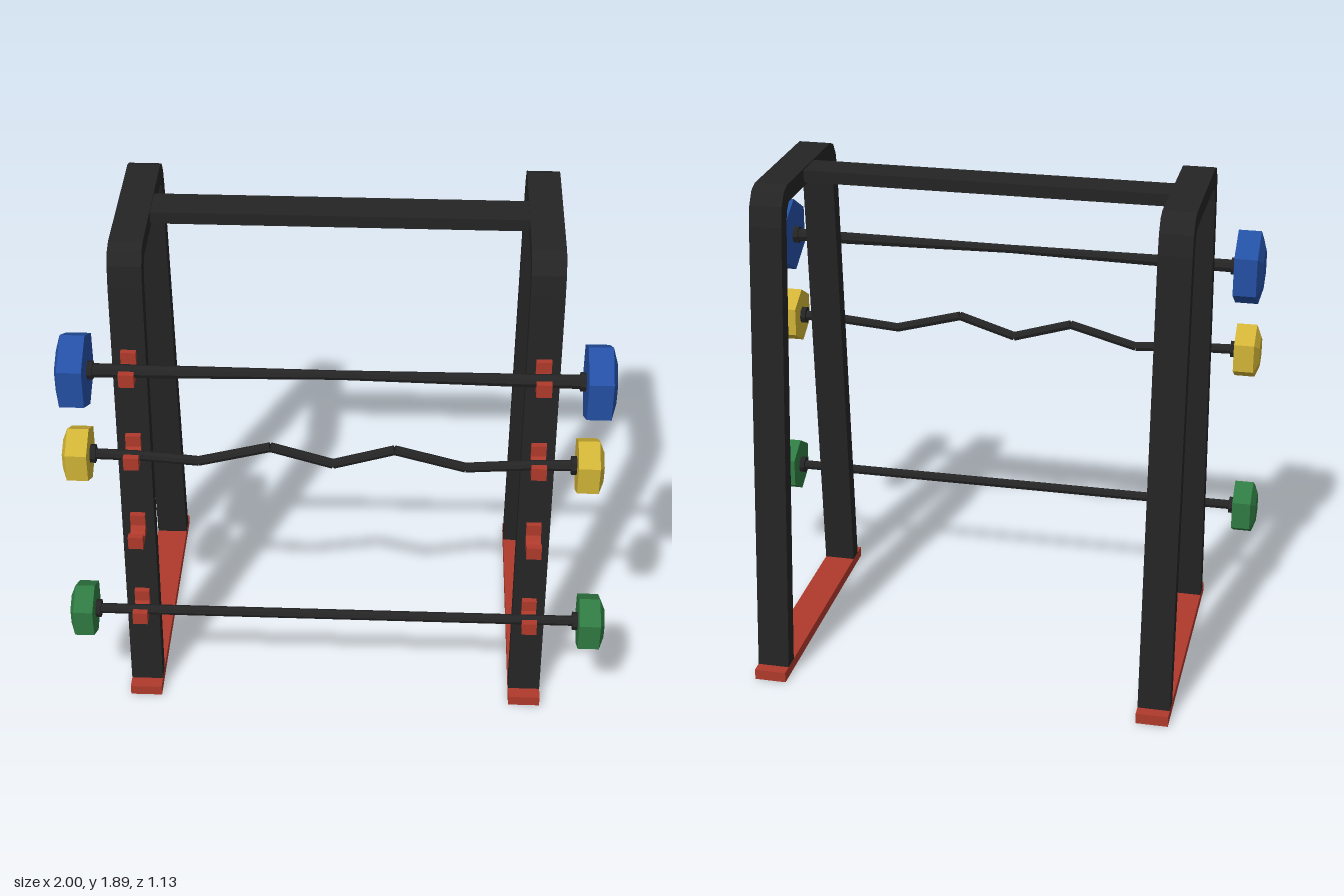
import * as THREE from 'three';

const mat = (name, color) => {
  const m = new THREE.MeshStandardMaterial({ color, flatShading: true });
  m.name = name;
  return m;
};

export function createModel() {
  const root = new THREE.Group();
  root.name = 'barbellRack';
  const black = mat('black steel', 0x242424);
  const red = mat('red', 0xb03a2c);
  const blue = mat('blue', 0x2450a4);
  const yellow = mat('yellow', 0xd0b336);
  const green = mat('green', 0x2f7a42);

  const add = (name, geo, material, parent = root) => {
    const mesh = new THREE.Mesh(geo, material);
    mesh.name = name;
    parent.add(mesh);
    return mesh;
  };
  const box = (name, material, x0, x1, y0, y1, z0, z1) =>
    add(name, new THREE.BoxGeometry(x1 - x0, y1 - y0, z1 - z0), material)
      .position.set((x0 + x1) / 2, (y0 + y1) / 2, (z0 + z1) / 2);
  // Extrude a (z, y) outline along x, centred on x
  const sideProfile = (pts, width, x) => {
    const shape = new THREE.Shape(pts.map(p => new THREE.Vector2(...p)));
    return new THREE.ExtrudeGeometry(shape, { depth: width, bevelEnabled: false })
      .rotateY(-Math.PI / 2).translate(x + width / 2, 0, 0);
  };
  // Round rod between two points
  const rod = (name, a, b, r0, r1, parent) => {
    const dir = b.clone().sub(a);
    const m = add(name, new THREE.CylinderGeometry(r1, r0, dir.length(), 8), black, parent);
    m.position.copy(a).add(b).multiplyScalar(0.5);
    m.quaternion.setFromUnitVectors(new THREE.Vector3(0, 1, 0), dir.normalize());
  };

  // Bent A-frames, feet and hooks on both sides
  const frame = [
    [0.45, 0.04], [0.32, 1.755], [0.305, 1.83], [0.275, 1.875], [0.235, 1.89],
    [-0.305, 1.89], [-0.345, 1.875], [-0.375, 1.83], [-0.39, 1.755], [-0.52, 0.04],
    [-0.455, 0.04], [-0.328, 1.755], [-0.315, 1.8], [-0.29, 1.825],
    [0.22, 1.825], [0.245, 1.8], [0.258, 1.755], [0.388, 0.04],
  ];
  const hook = [
    [-0.01, 0], [0.102, 0], [0.102, 0.052], [0.077, 0.052], [0.066, 0.03],
    [0.05, 0.019], [0.03, 0.026], [0.018, 0.045], [0.018, 0.09], [-0.015, 0.09],
  ];
  const hookHeights = [0.383, 0.728, 1.073, 1.418];
  const postFront = y => 0.453 - 0.0758 * y;
  for (const [side, x] of [['right', -0.74], ['left', 0.722]]) {
    add(side + 'Frame', sideProfile(frame, 0.12, x), black);
    box(side + 'Foot', red, x - 0.06, x + 0.06, 0, 0.04, -0.565, 0.5);
    for (const y of hookHeights) {
      add(side + 'Hook', sideProfile(hook, 0.055, x), red).position.set(0, y, postFront(y + 0.045));
    }
  }
  box('crossbar', black, -0.69, 0.67, 1.84, 1.885, -0.107, 0.027);

  // Hexagonal weight with a shallow domed outer face
  const weight = (material, r, inner, outer, y, z, parent) => {
    const len = Math.abs(outer - inner);
    const pts = [[0, 0], [r, 0], [r, len - 0.018], [r * 0.55, len], [0, len]];
    const geo = new THREE.LatheGeometry(pts.map(p => new THREE.Vector2(...p)), 6, Math.PI / 2);
    const m = add('weight', geo, material, parent);
    m.rotation.z = -Math.sign(outer) * Math.PI / 2;
    m.position.set(inner, y, z);
    // Collar against the inner face
    const s = Math.sign(outer);
    rod('collar', new THREE.Vector3(inner - s * 0.02, y, z),
      new THREE.Vector3(inner + s * 0.01, y, z), 0.034, 0.034, parent);
  };

  // Bars: path points are [x, y, radius]
  const bars = [
    { name: 'topBar', material: blue, z: 0.398, y: 1.458, r: 0.146,
      right: [-0.88, -0.985], left: [0.868, 0.972],
      path: [[-0.9, 1.458, 0.026], [-0.68, 1.458, 0.024], [0, 1.462, 0.017],
        [0.66, 1.458, 0.024], [0.89, 1.458, 0.026]] },
    { name: 'zigzagBar', material: yellow, z: 0.423, y: 1.11, r: 0.108,
      right: [-0.89, -0.985], left: [0.857, 0.952],
      path: [[-0.9, 1.11, 0.02], [-0.7, 1.105, 0.019], [-0.5, 1.088, 0.018], [-0.24, 1.158, 0.018],
        [-0.015, 1.09, 0.018], [0.205, 1.158, 0.018], [0.46, 1.088, 0.018],
        [0.68, 1.105, 0.019], [0.87, 1.11, 0.02]] },
    { name: 'bottomBar', material: green, z: 0.475, y: 0.417, r: 0.109,
      right: [-0.91, -1], left: [0.903, 1],
      path: [[-0.92, 0.417, 0.019], [0.92, 0.417, 0.019]] },
  ];
  for (const b of bars) {
    const g = new THREE.Group();
    g.name = b.name;
    root.add(g);
    for (let i = 0; i + 1 < b.path.length; i++) {
      const [p, q] = [b.path[i], b.path[i + 1]];
      rod('barSegment', new THREE.Vector3(p[0], p[1], b.z), new THREE.Vector3(q[0], q[1], b.z), p[2], q[2], g);
    }
    weight(b.material, b.r, ...b.right, b.y, b.z, g);
    weight(b.material, b.r, ...b.left, b.y, b.z, g);
  }
  return root;
}
